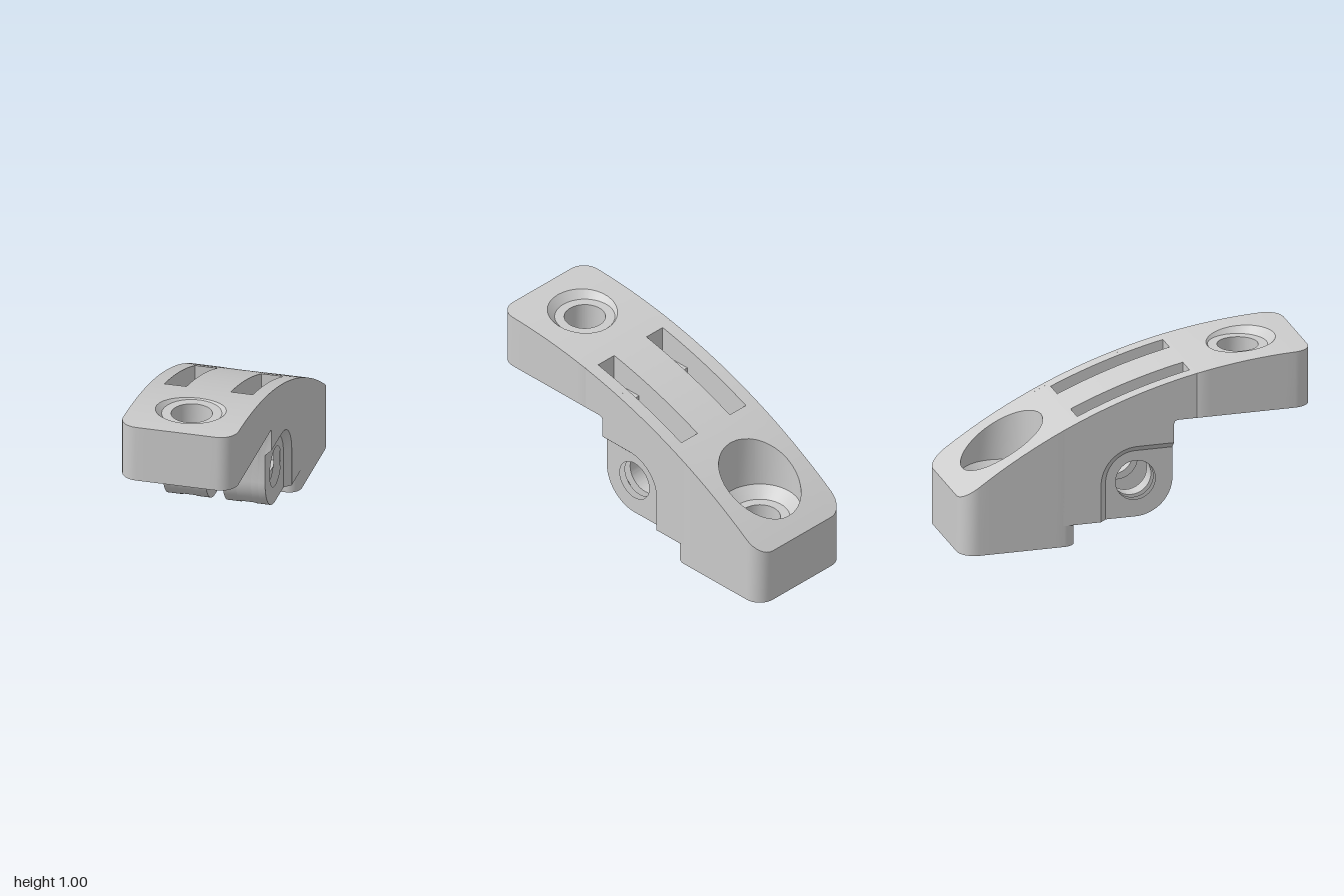
import * as THREE from 'three';
import { toCreasedNormals } from 'three/addons/utils/BufferGeometryUtils.js';

const mat = new THREE.MeshStandardMaterial({ color: 0xcccccc });
const R = 3.32, W = 0.327, PY = 0.333; // top arc radius, half width, pin height
const top = z => 0.995 - R + Math.sqrt(R * R - (1 - z) ** 2);

function addMesh(group, name, geo) {
  const m = new THREE.Mesh(toCreasedNormals(geo, 0.5), mat);
  m.name = name;
  group.add(m);
}

// points [z, y] along the curved top
const topLine = (z0, z1, n = 20) =>
  Array.from({ length: n + 1 }, (_, i) => { const z = z0 + (z1 - z0) * i / n; return [z, top(z)]; });
// points [z, y] on an arc around the pin axis
const arc = (r, a0, a1, n = 16) =>
  Array.from({ length: n + 1 }, (_, i) => {
    const a = a0 + (a1 - a0) * i / n;
    return [r * Math.cos(a), PY + r * Math.sin(a)];
  });

// side profile extruded across x, on both sides of the middle
function slab(group, name, x0, x1, pts, hole, rule) {
  for (const s of [1, -1]) {
    const shape = new THREE.Shape(pts.map(p => new THREE.Vector2(p[0], p[1])));
    if (hole) shape.holes.push(new THREE.Path().absarc(0, PY, 0.113, 0, Math.PI * 2, true));
    const geo = new THREE.ExtrudeGeometry(shape, { depth: x1 - x0, bevelEnabled: false, curveSegments: 40 });
    geo.rotateY(-Math.PI / 2).translate(s > 0 ? x1 : -x0, 0, 0);
    if (rule) {
      const p = geo.attributes.position, v = new THREE.Vector3();
      for (let i = 0; i < p.count; i++) {
        rule(v.fromBufferAttribute(p, i));
        p.setXYZ(i, v.x, v.y, v.z);
      }
    }
    addMesh(group, name, geo);
  }
}

// rounded rectangle in plan; r1 at the +z corners, r0 at the -z corners
function outline(hx, z0, z1, r0, r1) {
  const pts = [], out = [], sides = 8;
  [[1, z1, r1], [-1, z1, r1], [-1, z0, r0], [1, z0, r0]].forEach(([s, z, r], k) => {
    const cx = s * (hx - r), cz = z + (k < 2 ? -r : r);
    for (let i = 0; i <= 8; i++) {
      const a = (k + i / 8) * Math.PI / 2;
      pts.push([cx + r * Math.cos(a), cz + r * Math.sin(a)]);
    }
  });
  pts.forEach((p, i) => {
    out.push(p);
    if (i % 9 !== 8) return;
    const q = pts[(i + 1) % pts.length];
    for (let j = 1; j < sides; j++) out.push([p[0] + (q[0] - p[0]) * j / sides, p[1] + (q[1] - p[1]) * j / sides]);
  });
  return out;
}

// skin through a list of closed loops of [x, y, z]
function loft(loops) {
  const n = loops[0].length, idx = [];
  for (let i = 0; i < loops.length - 1; i++) for (let j = 0; j < n; j++) {
    const k = (j + 1) % n, a = i * n + j, b = i * n + k, c = b + n, d = a + n;
    idx.push(a, d, b, b, d, c);
  }
  const geo = new THREE.BufferGeometry();
  geo.setAttribute('position', new THREE.Float32BufferAttribute(loops.flat(2), 3));
  geo.setIndex(idx);
  return geo;
}

// hollow end block with screw hole, boss and ribs
function endBlock(group, name, o) {
  const { z0, z1, zc, yb, seat, ceil } = o, t = 0.07;
  const outer = outline(W, z0, z1, o.r0, o.r1);
  const inner = outline(W - t, z0 + t, z1 - t, 0.04, 0.04);
  const ang = outer.map(([x, z]) => Math.atan2(z - zc, x));
  const flat = (pts, y) => pts.map(([x, z]) => [x, y ?? top(z), z]);
  const ring = r => ang.map(a => [r * Math.cos(a), zc + r * Math.sin(a)]);
  // rim where the 45 degree countersink meets the curved top
  const rim = ang.map(a => {
    let r = 0.19;
    for (let i = 0; i < 12; i++) r = Math.min(0.225, 0.165 + top(zc + r * Math.sin(a)) - seat);
    return [r * Math.cos(a), zc + r * Math.sin(a)];
  });
  const mix = f => outer.map((p, i) => [p[0] + (rim[i][0] - p[0]) * f, p[1] + (rim[i][1] - p[1]) * f]);
  const loops = [flat(outer, yb), flat(outer), flat(mix(0.33)), flat(mix(0.66)), flat(rim)];
  if (o.deep) loops.push(flat(rim, seat + 0.06));
  loops.push(flat(ring(0.165), seat), flat(ring(0.113), seat), flat(ring(0.113), yb),
    flat(ring(0.19), yb), flat(ring(0.19), ceil), flat(inner, ceil), flat(inner, yb), flat(outer, yb));
  addMesh(group, name, loft(loops));
  // ribs from boss to wall
  const h = ceil - yb + 0.01;
  for (const [dx, dz] of [[1, 0], [-1, 0], [0, 1], [0, -1]]) {
    const end = dx ? W - t + 0.01 : (dz > 0 ? z1 - zc : zc - z0) - t + 0.01;
    const len = end - 0.18, mid = 0.18 + len / 2;
    const geo = new THREE.BoxGeometry(dx ? len : 0.05, h, dz ? len : 0.05);
    geo.translate(dx * mid, yb + h / 2, zc + dz * mid);
    addMesh(group, name + 'Rib', geo);
  }
}

export function createModel() {
  const g = new THREE.Group();
  g.name = 'hingeBracket';
  const zf = 0.34, zr = -0.345, P = Math.PI;

  endBlock(g, 'frontPad', { z0: zf, z1: 1, zc: 0.67, yb: 0.67, seat: 0.95, ceil: 0.86, r0: 0.004, r1: 0.1 });
  endBlock(g, 'rearFoot', { z0: -1, z1: zr, zc: -0.675, yb: 0, seat: 0.28, ceil: 0.2, r0: 0.1, r1: 0.07, deep: true });

  const pad = [[zf, 0.67], [0.23, 0.67], [0.216, 0.664], [0.21, 0.65]];
  const knuckle = arc(0.212, 0, -P / 2);

  // centre web behind the slot for the mating lug
  slab(g, 'centreWeb', 0, 0.048, [...topLine(zr, zf), [zf, 0.67], [0.21, 0.67], [0.16, 0.62],
    [-0.29, 0.62], [-0.29, 0.12], [zr, 0.12]]);

  // solid knuckles beside the pockets
  const solid = z => [...topLine(z, zf), ...pad, ...knuckle, [z, 0.121]];
  slab(g, 'innerKnuckle', 0.048, 0.125, solid(zr), true);
  slab(g, 'outerKnuckle', 0.25, 0.29, solid(-0.36), true);

  // pocket: front wall, pin tube, rear floor
  const cut = -Math.acos(0.13 / 0.212);
  slab(g, 'pocketFront', 0.125, 0.21, [...topLine(0.32, zf, 2), ...pad, ...arc(0.212, 0, cut, 8),
    [0.13, 0.75], [0.32, 0.75]]);
  slab(g, 'pinTube', 0.125, 0.21, arc(0.168, 0, 2 * P, 48).slice(0, -1), true);
  slab(g, 'pocketRear', 0.125, 0.21, [...topLine(zr, -0.32, 2), [-0.32, 0.2], [-0.165, 0.2],
    [-0.165, 0.121], [zr, 0.121]]);

  // thickened pocket wall behind the side recess
  slab(g, 'pocketSideWall', 0.21, 0.25, [...topLine(zr, -0.32, 2), [-0.32, 0.2], [-0.247, 0.2],
    ...arc(0.247, P, P / 2), [0.13, 0.58], [0.13, 0.75], [0.32, 0.75],
    ...topLine(0.32, zf, 2), ...pad, ...knuckle, [zr, 0.121]], true);

  // outer cheek with chamfered recess around the knuckle
  slab(g, 'sideCheek', 0.29, W, [...topLine(-0.42, zf), ...pad, [0.21, 0.54],
    ...arc(0.207, P / 2, P), [-0.207, 0.121], [-0.42, 0.121]], false, v => {
    const dy = v.y - PY;
    if (Math.abs(v.x) > 0.3 || v.z > 0.212 || v.z < -0.21 || v.y > 0.545) return;
    if (v.z > -1e-4) v.y -= 0.037;
    else if (dy < 1e-4) v.z += 0.037;
    else { v.z *= 0.17 / 0.207; v.y = PY + dy * 0.17 / 0.207; }
  });
  return g;
}
